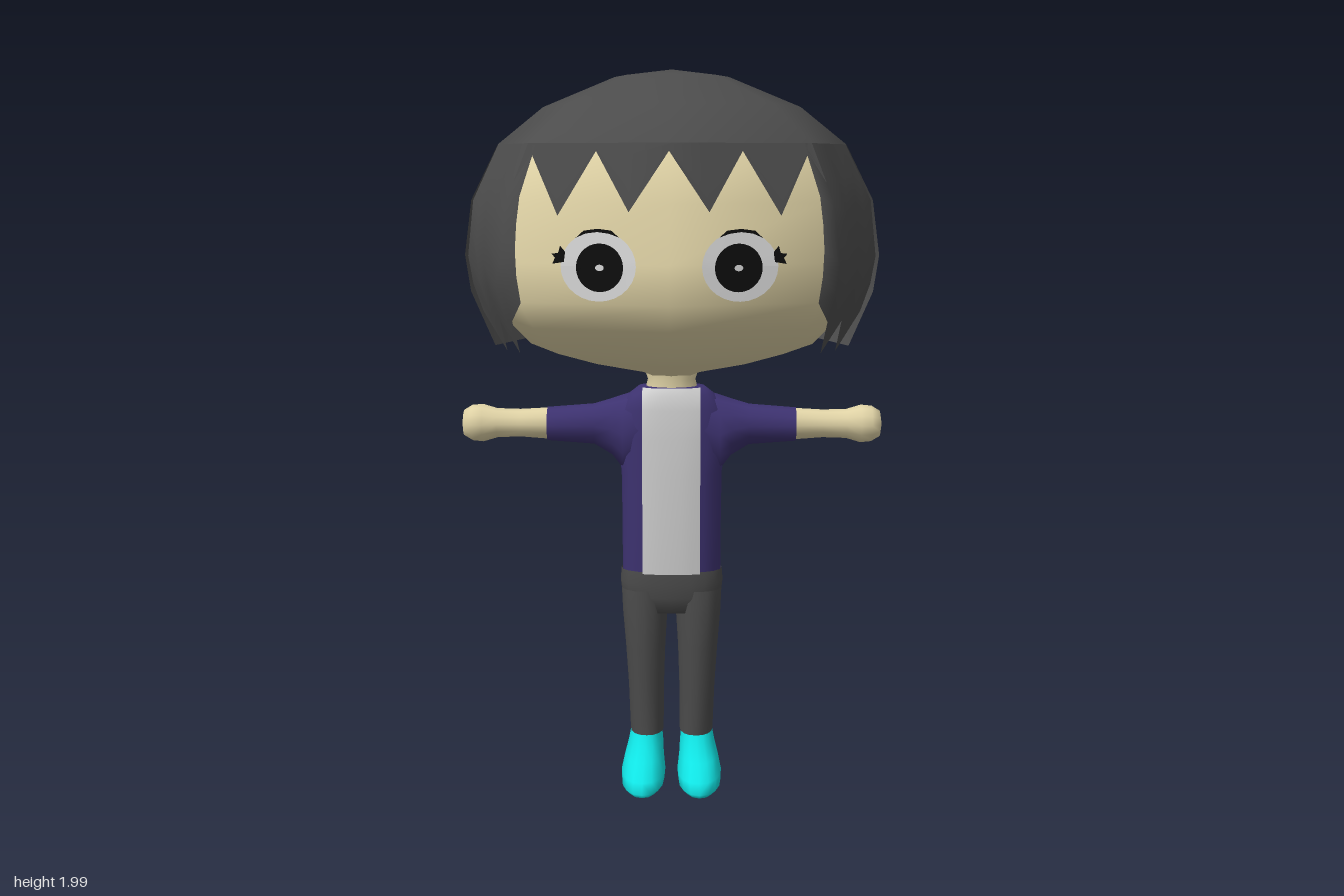
import * as THREE from 'three';
import { mergeGeometries, mergeVertices } from 'three/addons/utils/BufferGeometryUtils.js';

const mat = (name, color, side = THREE.FrontSide) => {
  const m = new THREE.MeshStandardMaterial({ color, side });
  m.name = name;
  return m;
};

// Smooth surface through rows of points (rows go up, columns run from +x towards +z)
function surface(rows) {
  const n = rows[0].length, index = [];
  for (let i = 0; i < rows.length - 1; i++)
    for (let j = 0; j < n - 1; j++) {
      const a = i * n + j, b = a + n;
      index.push(a, b, a + 1, a + 1, b, b + 1);
    }
  const g = new THREE.BufferGeometry();
  g.setAttribute('position', new THREE.Float32BufferAttribute(rows.flat(2), 3));
  g.setIndex(index);
  return smooth(g);
}
function smooth(g) {
  g.deleteAttribute('normal');
  g = mergeVertices(g, 1e-4);
  g.computeVertexNormals();
  return g;
}

// Superellipse tube; each ring is [y, centreX, radiusX, centreZ, radiusZ]
const pow = (v, e) => Math.sign(v) * Math.abs(v) ** e;
function loft(rings, power = 2, sides = 16) {
  return surface(rings.map(([y, cx, rx, cz, rz]) =>
    Array.from({ length: sides + 1 }, (_, j) => {
      const a = (j % sides) / sides * Math.PI * 2;
      return [cx + rx * pow(Math.cos(a), 2 / power), y, cz + rz * pow(Math.sin(a), 2 / power)];
    })));
}

function mirrored(g) {
  const m = g.clone().scale(-1, 1, 1), ix = m.index.array;
  for (let i = 0; i < ix.length; i += 3) [ix[i], ix[i + 1]] = [ix[i + 1], ix[i]];
  m.computeVertexNormals();
  return m;
}

// Interpolate a table keyed on its first column (ascending)
function lookup(table, y) {
  let i = 0;
  while (i < table.length - 2 && y > table[i + 1][0]) i++;
  const a = table[i], b = table[i + 1];
  const t = THREE.MathUtils.clamp((y - a[0]) / (b[0] - a[0]), 0, 1);
  return a.map((v, k) => v + (b[k] - v) * t);
}

// Head tables: [y, half width, front depth, back depth] around z = 0.02
const HEAD_Z = 0.02, DIAG = 0.755;
const HEAD = [
  [1.165, 0.05, 0.05, 0.05], [1.185, 0.1, 0.1, 0.1], [1.22, 0.26, 0.25, 0.25], [1.255, 0.39, 0.34, 0.38],
  [1.33, 0.465, 0.445, 0.45], [1.4, 0.51, 0.5, 0.48], [1.5, 0.53, 0.485, 0.5],
  [1.65, 0.515, 0.45, 0.485], [1.8, 0.44, 0.41, 0.41], [1.88, 0.3, 0.28, 0.28], [1.92, 0, 0, 0]];
const HAIR = [
  [1.25, 0.49, 0.44, 0.455], [1.4, 0.555, 0.505, 0.525], [1.5, 0.57, 0.515, 0.54], [1.65, 0.55, 0.485, 0.52],
  [1.8, 0.475, 0.45, 0.45], [1.9, 0.35, 0.35, 0.34], [1.98, 0.155, 0.16, 0.15], [2, 0, 0, 0]];

// Corners of an octagon: u = 0 left side, 2 front, 4 right side, 6 back
const OCT = [[1, 0], [DIAG, DIAG], [0, 1], [-DIAG, DIAG], [-1, 0], [-DIAG, -DIAG], [0, -1], [DIAG, -DIAG]];
function octPoint(table, u, y) {
  const [, rx, zf, zb] = lookup(table, y), k = Math.floor(u), t = u - k;
  const a = OCT[k % 8], b = OCT[(k + 1) % 8];
  const x = a[0] + (b[0] - a[0]) * t, z = a[1] + (b[1] - a[1]) * t;
  return [rx * x, y, HEAD_Z + z * (z > 0 ? zf : zb)];
}
const octShell = (table, ys, us) => surface(ys.map(y => us.map(u => octPoint(table, u, y))));

// Hanging hair; each column is [u at top, u at bottom, bottom y]
function hairStrands(columns, top = 1.8, steps = 6) {
  const rows = [];
  for (let i = 0; i <= steps; i++) {
    const t = i / steps;
    rows.push(columns.map(([ut, ub, yb]) => octPoint(HAIR, ub + (ut - ub) * t, yb + (top - yb) * t)));
  }
  return surface(rows);
}

// Lay a flat shape onto the face
function onFace(g, cx, cy, lift) {
  const p = g.attributes.position;
  for (let i = 0; i < p.count; i++) {
    const x = p.getX(i) + cx, y = p.getY(i) + cy, [, rx, zf] = lookup(HEAD, y);
    p.setXYZ(i, x, y, HEAD_Z + zf * (1 - (1 - DIAG) * Math.abs(x) / (rx * DIAG)) + lift);
  }
  g.computeVertexNormals();
  return g;
}
const disc = (rx, ry) => new THREE.RingGeometry(0.0001, 1, 28, 5).scale(rx, ry, 1);
const flat = pts => new THREE.ShapeGeometry(new THREE.Shape(pts.map(p => new THREE.Vector2(...p))));

export function createModel() {
  const skin = mat('skin', 0xe0d3a6), hair = mat('hair', 0x4c4c4c, THREE.DoubleSide);
  const jacket = mat('jacket', 0x3d3270, THREE.DoubleSide), shirt = mat('shirt', 0xd0d0d0, THREE.DoubleSide);
  const trousers = mat('trousers', 0x4b4b4b, THREE.DoubleSide), shoe = mat('shoe', 0x10e4e4);
  const black = mat('black', 0x0c0c0c, THREE.DoubleSide);

  const model = new THREE.Group();
  model.name = 'figure';
  const add = (name, g, m) => {
    const mesh = new THREE.Mesh(g, m);
    mesh.name = name;
    model.add(mesh);
  };
  const pair = (name, g, m) => {
    add('left' + name, g, m);
    add('right' + name, mirrored(g), m);
  };

  // Head and neck
  const all = [0, 1, 2, 3, 4, 5, 6, 7, 8];
  add('head', octShell(HEAD, HEAD.map(r => r[0]), all), skin);
  add('neck', loft([[1.12, 0, 0.075, 0.035, 0.055], [1.16, 0, 0.066, 0.035, 0.05], [1.2, 0, 0.08, 0.035, 0.06]]), skin);

  // Hair: crown with back, zigzag fringe, side locks
  const levels = HAIR.map(r => r[0]);
  add('hairCrownAndBack', smooth(mergeGeometries([
    octShell(HAIR, levels.slice(4), all),
    octShell(HAIR, levels.slice(0, 5), [4, 5, 6, 7, 8])])), hair);
  const half = [[1, 1, 1.7], [1.03, 1.05, 1.775], [1.25, 1.33, 1.62], [1.5, 1.5, 1.78], [1.74, 1.76, 1.63]];
  add('fringe', hairStrands([...half, [2, 2, 1.78],
    ...half.slice().reverse().map(([a, b, y]) => [4 - a, 4 - b, y])]), hair);
  pair('SideLock', hairStrands([[0.02, 0.14, 1.35], [0.2, 0.4, 1.25], [0.4, 0.6, 1.34],
    [0.65, 0.85, 1.26], [1, 1, 1.35], [1.06, 1.1, 1.4]]), hair);

  // Eyes and lashes
  pair('EyeWhite', onFace(disc(0.096, 0.087), 0.178, 1.495, 0.005), shirt);
  pair('Iris', onFace(disc(0.06, 0.06), 0.174, 1.492, 0.009), black);
  pair('EyeGlint', onFace(disc(0.011, 0.008), 0.174, 1.492, 0.012), shirt);
  pair('OuterLash', onFace(flat([[0.265, 1.505], [0.295, 1.5], [0.288, 1.515], [0.297, 1.525], [0.28, 1.527],
    [0.275, 1.545], [0.262, 1.53]]), 0, 0, 0.008), black);
  pair('UpperLash', onFace(flat([[0.125, 1.567], [0.15, 1.576], [0.18, 1.58], [0.21, 1.576], [0.235, 1.565],
    [0.215, 1.583], [0.18, 1.588], [0.145, 1.584]]), 0, 0, 0.008), black);

  // Jacket body with shirt panel
  const N = 2.5;
  const TORSO = [[0.62, 0, 0.138, 0.033, 0.078], [0.75, 0, 0.138, 0.035, 0.081], [0.9, 0, 0.14, 0.035, 0.083],
    [1, 0, 0.155, 0.035, 0.083], [1.08, 0, 0.15, 0.035, 0.079], [1.12, 0, 0.118, 0.035, 0.072],
    [1.14, 0, 0.092, 0.035, 0.06]];
  add('jacketBody', loft([...TORSO, [1.142, 0, 0, 0.035, 0]], N, 20), jacket);
  add('shirtPanel', surface(TORSO.map(([y, , rx, cz, rz]) => [0.08, 0.055, 0.028, 0, -0.028, -0.055, -0.08].map(x =>
    [x, y, cz + 0.007 + rz * (1 - (Math.abs(x) / rx) ** N) ** (1 / N)]))), shirt);

  // Arms, lofted upright and laid along x (centreX becomes -height)
  const arm = rings => loft(rings, 2, 12).rotateZ(-Math.PI / 2);
  pair('Sleeve', arm([[0.07, -1.03, 0.105, 0.035, 0.072], [0.135, -1.01, 0.105, 0.035, 0.07],
    [0.165, -1.025, 0.08, 0.036, 0.063], [0.215, -1.033, 0.057, 0.037, 0.055], [0.345, -1.033, 0.047, 0.038, 0.048]]), jacket);
  pair('ForearmAndHand', arm([[0.33, -1.034, 0.045, 0.038, 0.045], [0.42, -1.035, 0.039, 0.038, 0.04],
    [0.485, -1.035, 0.041, 0.038, 0.042], [0.525, -1.035, 0.053, 0.038, 0.052], [0.555, -1.035, 0.05, 0.038, 0.05],
    [0.578, -1.035, 0.036, 0.038, 0.036], [0.584, -1.035, 0, 0.038, 0]]), skin);

  // Trousers
  add('hips', loft([[0.5, 0, 0, 0.033, 0], [0.505, 0, 0.12, 0.033, 0.07], [0.55, 0, 0.139, 0.034, 0.08],
    [0.59, 0, 0.144, 0.035, 0.082], [0.625, 0, 0.141, 0.035, 0.08]], N, 20), trousers);
  pair('TrouserLeg', loft([[0.15, 0.07, 0.047, 0.03, 0.073], [0.28, 0.072, 0.05, 0.03, 0.077],
    [0.4, 0.074, 0.056, 0.031, 0.083], [0.5, 0.075, 0.063, 0.033, 0.082], [0.57, 0.073, 0.068, 0.034, 0.078]], 2.2), trousers);

  // Shoes
  pair('Shoe', loft([[0.006, 0.08, 0, 0.09, 0], [0.006, 0.08, 0.045, 0.098, 0.115], [0.02, 0.08, 0.06, 0.092, 0.137],
    [0.048, 0.079, 0.062, 0.084, 0.129], [0.085, 0.077, 0.055, 0.056, 0.099], [0.12, 0.073, 0.049, 0.038, 0.078],
    [0.16, 0.071, 0.043, 0.03, 0.066]], 2.2), shoe);
  return model;
}
